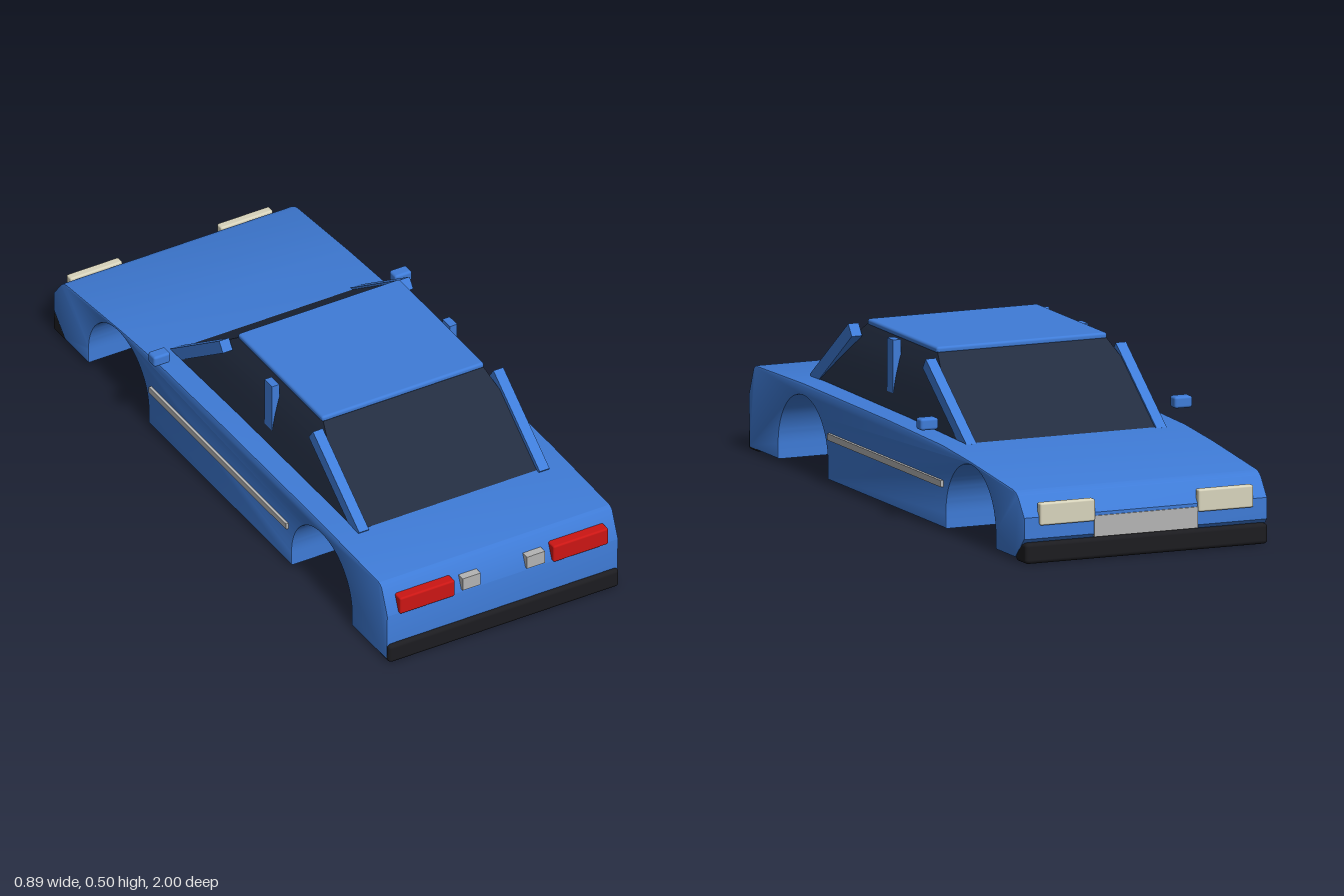
import * as THREE from 'three';
import { toCreasedNormals } from 'three/addons/utils/BufferGeometryUtils.js';
import { RoundedBoxGeometry } from 'three/addons/geometries/RoundedBoxGeometry.js';

const paint = new THREE.MeshStandardMaterial({ color: 0x3f7cd8 });
const dark = new THREE.MeshStandardMaterial({ color: 0x222c40 });
const black = new THREE.MeshStandardMaterial({ color: 0x1c1c20 });
const red = new THREE.MeshStandardMaterial({ color: 0xcc1614 });
const cream = new THREE.MeshStandardMaterial({ color: 0xd8d4bc });
const grey = new THREE.MeshStandardMaterial({ color: 0xb4b4b4 });

// Side outline with two wheel arches, drawn in (z, y) and extruded across the car
function bodyGeometry() {
  const s = new THREE.Shape();
  s.moveTo(0.985, 0.01);
  s.lineTo(0.99, 0.17);
  s.lineTo(0.958, 0.25);
  s.quadraticCurveTo(0.952, 0.264, 0.935, 0.266);
  s.lineTo(0.6, 0.272);
  s.lineTo(0, 0.268);
  s.lineTo(-0.4, 0.26);
  s.lineTo(-0.6, 0.245);
  s.lineTo(-0.91, 0.214);
  s.quadraticCurveTo(-0.935, 0.21, -0.95, 0.192);
  s.lineTo(-0.99, 0.14);
  s.lineTo(-0.99, 0.075);
  s.lineTo(-0.925, 0.01);
  for (const z of [-0.605, 0.6]) {
    s.lineTo(z - 0.178, 0.01);
    s.absarc(z, 0.056, 0.178, Math.PI, 0, true);
    s.lineTo(z + 0.178, 0.01);
  }
  const b = 0.005;
  const geo = new THREE.ExtrudeGeometry(s, {
    depth: 0.8 - 2 * b, bevelThickness: b, bevelSize: b, bevelOffset: -b,
    bevelSegments: 2, curveSegments: 32,
  });
  geo.rotateY(-Math.PI / 2).translate(0.4 - b, 0, 0);
  return toCreasedNormals(geo, 0.5);
}

// Tapered block: sides lean in with a slight bulge, screens slope to the roof
function glassGeometry() {
  const geo = new THREE.BoxGeometry(2, 1, 2, 1, 4, 1);
  const p = geo.attributes.position;
  for (let i = 0; i < p.count; i++) {
    const t = p.getY(i) + 0.5;
    const half = 0.33 - 0.035 * t - 0.018 * t ** 4;
    const z = p.getZ(i) > 0 ? 0.705 - 0.305 * t : -0.415 + 0.315 * t;
    p.setXYZ(i, p.getX(i) * half, 0.255 + 0.225 * t, z);
  }
  geo.computeVertexNormals();
  return geo;
}

export function createModel() {
  const car = new THREE.Group();
  car.name = 'car';

  const add = (name, geo, mat) => {
    const mesh = new THREE.Mesh(geo, mat);
    mesh.name = name;
    car.add(mesh);
    return mesh;
  };
  // Block given by its [min, max] ranges; a radius rounds its edges
  const block = (name, mat, [x0, x1], [y0, y1], [z0, z1], r = 0) => {
    const size = [x1 - x0, y1 - y0, z1 - z0];
    const geo = r ? new RoundedBoxGeometry(...size, 2, r) : new THREE.BoxGeometry(...size);
    const mesh = add(name, geo, mat);
    mesh.position.set((x0 + x1) / 2, (y0 + y1) / 2, (z0 + z1) / 2);
    return mesh;
  };
  const pair = (name, mat, [x0, x1], y, z, r) => {
    block(name + 'Left', mat, [x0, x1], y, z, r);
    block(name + 'Right', mat, [-x1, -x0], y, z, r);
  };
  // Sloping pillars from a foot (z, y) to a head (z, y)
  const pillars = (name, [z0, y0], [z1, y1], thick) => {
    const len = Math.hypot(z1 - z0, y1 - y0);
    for (const side of [1, -1]) {
      const mesh = add(name + (side > 0 ? 'Left' : 'Right'), new THREE.BoxGeometry(0.034, thick, len), paint);
      mesh.position.set(side * 0.312, (y0 + y1) / 2, (z0 + z1) / 2);
      mesh.rotation.x = -Math.atan2(y1 - y0, z1 - z0);
    }
  };

  add('body', bodyGeometry(), paint);
  add('cabinGlass', glassGeometry(), dark);
  block('roof', paint, [-0.28, 0.28], [0.475, 0.495], [-0.103, 0.4], 0.008);
  pillars('rearPillar', [0.69, 0.259], [0.415, 0.46], 0.043);
  pillars('windscreenPillar', [-0.41, 0.243], [-0.117, 0.452], 0.038);
  pair('doorPillar', paint, [0.295, 0.32], [0.28, 0.48], [0.125, 0.17]);

  // Bumpers
  block('rearBumper', black, [-0.398, 0.398], [0.002, 0.065], [0.93, 1], 0.012);
  block('noseBumper', black, [-0.398, 0.398], [0, 0.063], [-1, -0.92], 0.012);

  // Lights and plates
  pair('tailLight', red, [0.17, 0.36], [0.17, 0.228], [0.96, 1], 0.006);
  pair('reversingLight', grey, [0.08, 0.142], [0.178, 0.22], [0.95, 0.996]);
  pair('headLight', cream, [0.17, 0.35], [0.115, 0.183], [-1, -0.972], 0.006);
  block('grille', grey, [-0.17, 0.17], [0.066, 0.13], [-0.994, -0.97]);

  // Side fittings
  pair('sideTrim', grey, [0.39, 0.409], [0.134, 0.154], [-0.41, 0.405]);
  pair('mirror', paint, [0.388, 0.446], [0.297, 0.333], [-0.352, -0.312], 0.008);

  return car;
}
